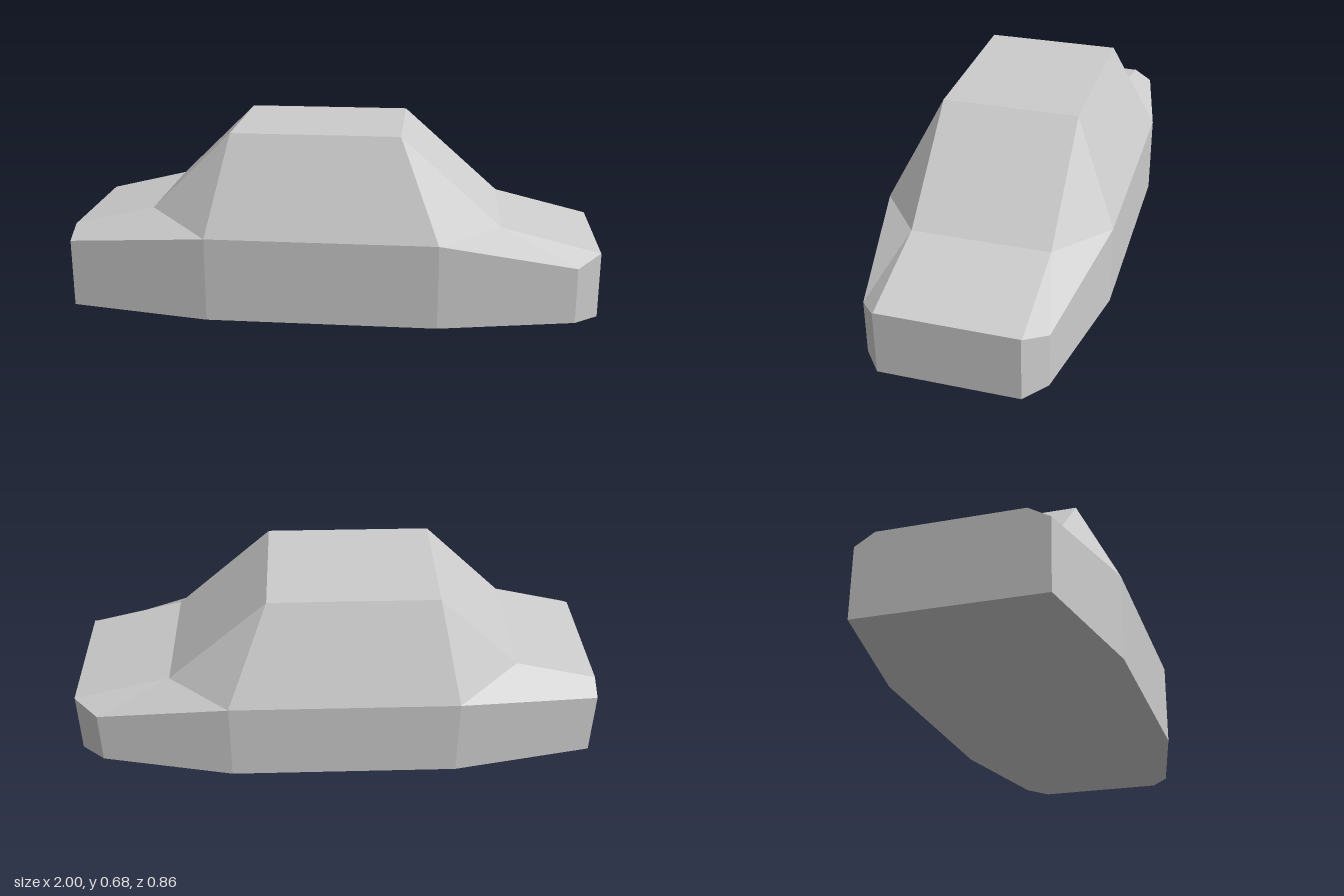
import * as THREE from 'three';

// Half-width profiles from tail (-x) to nose (+x)
const belt = [[-1, 0.26, 0.33], [-0.46, 0.318, 0.43], [0.4, 0.318, 0.43], [0.91, 0.213, 0.328], [1, 0.25, 0.256]];
const ridge = [[-1, 0.305], [-0.69, 0.38], [-0.385, 0.677], [0.25, 0.677], [0.63, 0.34], [1, 0.25]];
const RIDGE_Z = 0.256;

// Panels between belt (b) and ridge (r), as triangles
const sidePanels = ['b0 r1 r0', 'b0 b1 r1', 'b1 r2 r1', 'b1 b2 r3', 'b1 r3 r2',
  'b2 r4 r3', 'b2 b3 r4', 'b3 r5 r4'];

function meshFrom(name, tris, material) {
  const geo = new THREE.BufferGeometry();
  geo.setAttribute('position', new THREE.Float32BufferAttribute(tris.flat(2), 3));
  geo.computeVertexNormals();
  const mesh = new THREE.Mesh(geo, material);
  mesh.name = name;
  return mesh;
}

export function createModel() {
  const group = new THREE.Group();
  group.name = 'carBody';
  const paint = new THREE.MeshStandardMaterial({ color: 0xcccccc, flatShading: true });
  paint.name = 'light grey';

  const B = (i, s) => [belt[i][0], belt[i][1], s * belt[i][2] - 0.003];
  const F = (i, s) => [belt[i][0], 0, s * belt[i][2] - 0.003];
  const R = (i, s) => [ridge[i][0], ridge[i][1], s * RIDGE_Z - 0.006];
  const quad = (a, b, c, d) => [[a, b, c], [a, c, d]];

  // Mirrored sides: upright lower walls and sloping upper panels
  for (const s of [1, -1]) {
    const flip = (tris) => (s > 0 ? tris : tris.map(([a, b, c]) => [a, c, b]));
    const side = s > 0 ? 'front' : 'back';
    const wall = [];
    for (let i = 0; i < belt.length - 1; i++) {
      wall.push(...quad(F(i, s), F(i + 1, s), B(i + 1, s), B(i, s)));
    }
    group.add(meshFrom(side + 'LowerWall', flip(wall), paint));
    const pick = (k) => (k[0] === 'b' ? B(+k[1], s) : R(+k[1], s));
    const upper = sidePanels.map((t) => t.split(' ').map(pick));
    // close the nose corner
    upper.push([B(3, s), B(4, s), R(5, s)]);
    group.add(meshFrom(side + 'UpperPanels', flip(upper), paint));
  }

  // Deck strips: boot, rear window, roof, windscreen, bonnet
  ['boot', 'rearWindow', 'roof', 'windscreen', 'bonnet'].forEach((name, i) => {
    group.add(meshFrom(name, quad(R(i, 1), R(i + 1, 1), R(i + 1, -1), R(i, -1)), paint));
  });

  // Nose and tail ends
  group.add(meshFrom('nose', quad(F(4, 1), F(4, -1), B(4, -1), B(4, 1)), paint));
  group.add(meshFrom('tail', [
    ...quad(F(0, -1), F(0, 1), B(0, 1), B(0, -1)),
    ...quad(B(0, -1), B(0, 1), R(0, 1), R(0, -1)),
  ], paint));

  // Flat underside
  const floor = [];
  for (let i = 0; i < belt.length - 1; i++) {
    floor.push(...quad(F(i, -1), F(i + 1, -1), F(i + 1, 1), F(i, 1)));
  }
  group.add(meshFrom('underside', floor, paint));
  return group;
}
